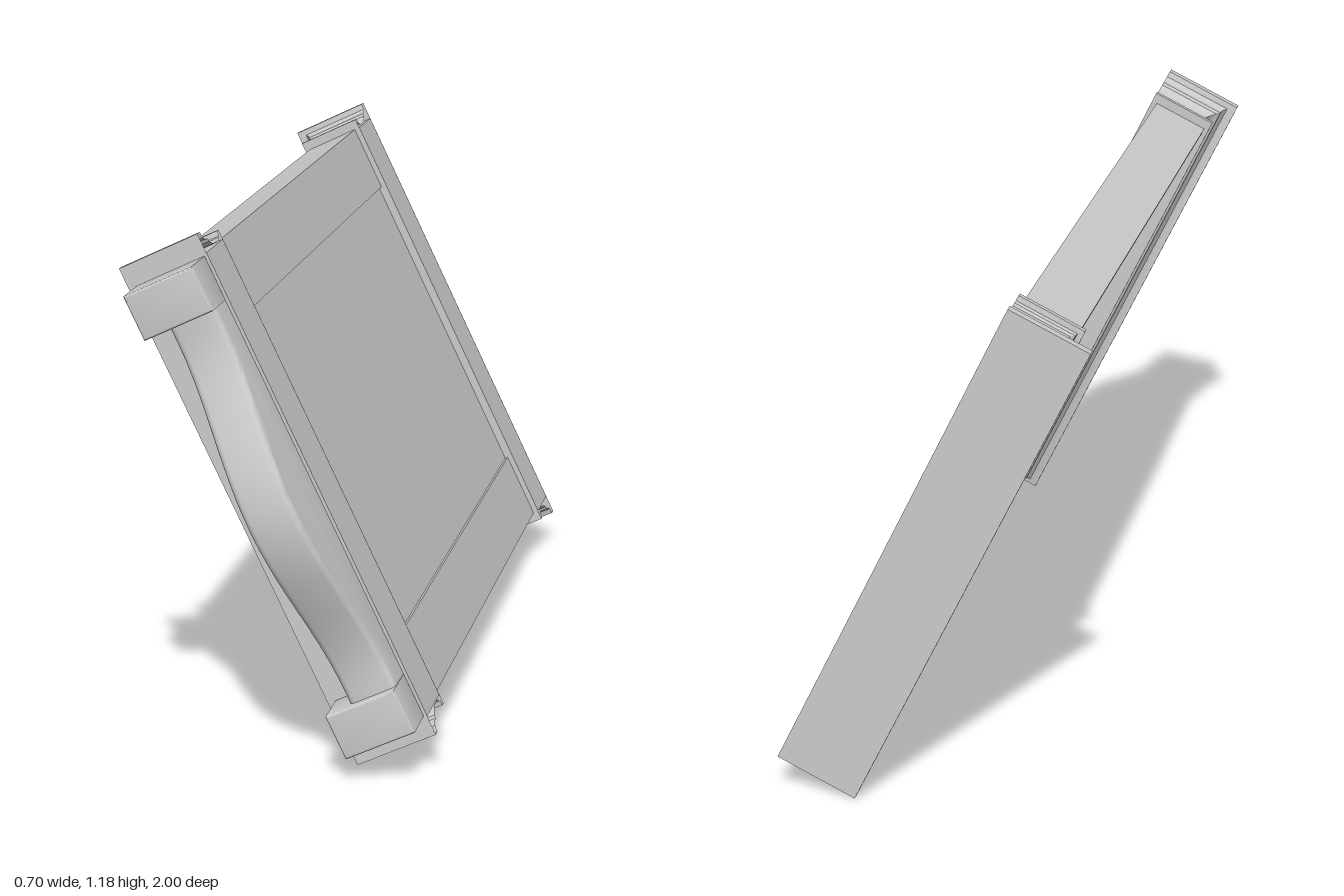
import * as THREE from 'three';
import { toCreasedNormals } from 'three/addons/utils/BufferGeometryUtils.js';

const grey = new THREE.MeshStandardMaterial({ color: 0xcccccc });
const greyOpen = new THREE.MeshStandardMaterial({ color: 0xcccccc, side: THREE.DoubleSide });

// Skins rectangular cross-sections [z, half height, depth behind] on three sides and both ends;
// the side at the flat face stays open
function mouldingGeometry(profile, front) {
  const loops = profile.map(([z, h, b]) => [[front, h, z], [-b, h, z], [-b, -h, z], [front, -h, z]]);
  const pos = [];
  const quad = (a, b, c, d) => pos.push(...a, ...b, ...c, ...a, ...c, ...d);
  for (let k = 0; k < loops.length - 1; k++) {
    for (let i = 0; i < 3; i++) {
      quad(loops[k][i], loops[k][i + 1], loops[k + 1][i + 1], loops[k + 1][i]);
    }
  }
  quad(...[...loops[0]].reverse());
  quad(...loops[loops.length - 1]);
  const geo = new THREE.BufferGeometry();
  geo.setAttribute('position', new THREE.Float32BufferAttribute(pos, 3));
  geo.computeVertexNormals();
  return toCreasedNormals(geo, 0.5);
}

function add(parent, name, geometry, x = 0, y = 0, z = 0, material = grey) {
  const mesh = new THREE.Mesh(geometry, material);
  mesh.name = name;
  mesh.position.set(x, y, z);
  parent.add(mesh);
}

// Extrudes an outline with rounded edges; the outline grows by the bevel
function roundedExtrude(shape, depth, bevel) {
  const geo = new THREE.ExtrudeGeometry(shape, {
    depth: depth - 2 * bevel, bevelSize: bevel, bevelThickness: bevel, bevelSegments: 3,
  });
  return toCreasedNormals(geo.translate(0, 0, bevel), 0.6);
}

const outline = (pts) => new THREE.Shape(pts.map(([x, y]) => new THREE.Vector2(x, y)));

export function createModel() {
  const model = new THREE.Group();
  model.name = 'framedPanel';
  const tilted = new THREE.Group();
  tilted.name = 'tiltedPanel';
  tilted.position.y = 0.5915;
  tilted.rotation.z = THREE.MathUtils.degToRad(25.6);
  model.add(tilted);

  // Side stiles: flat outside, stepped moulding down to the board on the hollow side
  const H = 0.563, Z0 = -0.85, Z1 = 0.65, FACE = 0.084, BOARD = 0.05, RAIL = 0.097;
  const stile = [
    [FACE, 0], [-0.051, 0], [-0.051, 0.02], [-0.03, 0.024], [-0.028, 0.036], [-0.01, 0.04],
    [0.0, 0.048], [0.002, 0.064], [0.02, 0.067], [0.033, 0.076], [0.035, 0.09], [BOARD, 0.103],
    [BOARD, 0.166], [FACE, 0.166],
  ];
  for (const s of [-1, 1]) {
    const shape = outline(stile.map(([x, inset]) => [x, s * (H - inset)]));
    const geo = new THREE.ExtrudeGeometry(shape, { depth: Z1 - Z0, bevelEnabled: false });
    add(tilted, 'sideStile', geo, 0, 0, Z0);
  }

  // Central board, set slightly below the stiles
  const boardGeo = new THREE.BoxGeometry(0.077 - BOARD, 2 * (H - 0.166), Z1 - Z0);
  add(tilted, 'centreBoard', boardGeo, (0.077 + BOARD) / 2, 0, (Z0 + Z1) / 2);

  // End rails: a plain core wrapped on three sides by moulding
  const profile = [
    [0.65, 0.586, 0.062], [0.662, 0.586, 0.062], [0.664, 0.574, 0.05], [0.674, 0.572, 0.048],
    [0.677, 0.566, 0.038], [0.705, 0.566, 0.038], [0.722, 0.568, 0.042], [0.736, 0.573, 0.049],
    [0.746, 0.579, 0.059], [0.749, 0.586, 0.066], [0.766, 0.588, 0.068], [0.776, 0.594, 0.076],
    [0.78, 0.608, 0.097], [0.8, 0.608, 0.097],
  ];
  const mirrored = profile.map(([z, h, b]) => [-0.2 - z, h, b]).reverse();
  add(tilted, 'frontMoulding', mouldingGeometry(profile, RAIL), 0, 0, 0, greyOpen);
  add(tilted, 'backMoulding', mouldingGeometry(mirrored, RAIL), 0, 0, 0, greyOpen);
  for (const [name, z] of [['frontRail', 0.725], ['backRail', -0.925]]) {
    add(tilted, name, new THREE.BoxGeometry(RAIL + 0.03, 2 * H, 0.148), (RAIL - 0.03) / 2, 0, z);
  }

  // Corner blocks on the front rail
  const r = 0.005, w = 0.084 - r, h = 0.0525 - r;
  for (const s of [-1, 1]) {
    const block = outline([[-w, -h], [w, -h], [w, h], [-w, h]]);
    add(tilted, 'cornerBlock', roundedExtrude(block, 0.117, r), 0.007, s * 0.506, 0.798);
  }

  // Bowed crest between the blocks, drawn in z and y and extruded across the thickness
  const bevel = 0.014;
  const crest = [[0.78, -0.46]];
  for (let i = 0; i <= 40; i++) {
    const y = -0.46 + 0.023 * i;
    const bow = Math.abs(y) < 0.42 ? Math.cos((Math.PI / 2) * (y / 0.42)) ** 2 : 0;
    crest.push([0.89 + 0.11 * bow - bevel, y]);
  }
  crest.push([0.78, 0.46]);
  const crestGeo = roundedExtrude(outline(crest), 0.113, bevel).rotateY(-Math.PI / 2);
  add(tilted, 'bowedCrest', crestGeo, 0.09);

  return model;
}
